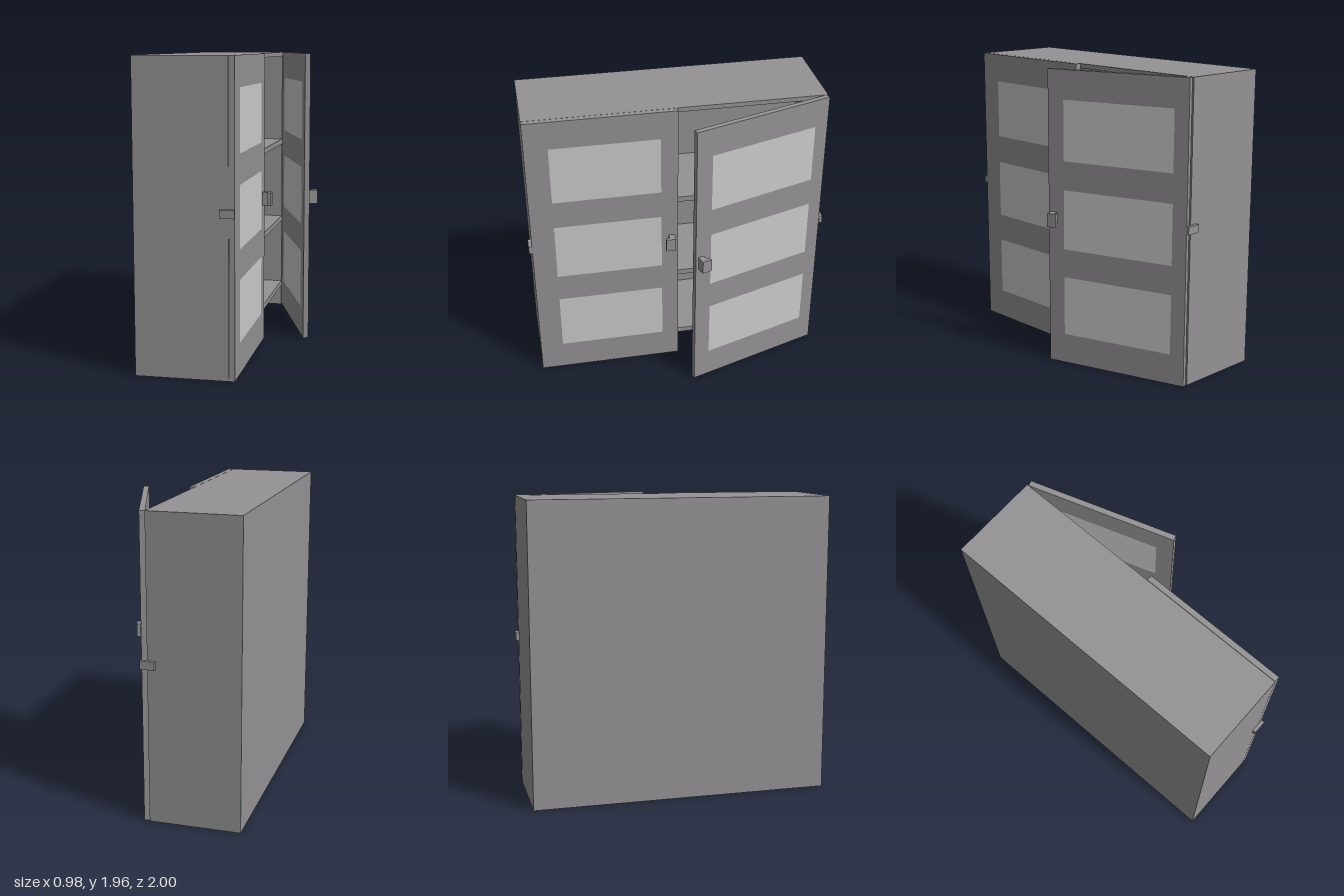
import * as THREE from 'three';

const H = 1.955, T = 0.036;
const body = new THREE.MeshStandardMaterial({ color: 0x949294 });
const pane = new THREE.MeshStandardMaterial({ color: 0xcccccc });

// Box given by its min and max corners
function box(parent, name, [x0, x1], [y0, y1], [z0, z1], material = body) {
  const mesh = new THREE.Mesh(new THREE.BoxGeometry(x1 - x0, y1 - y0, z1 - z0), material);
  mesh.position.set((x0 + x1) / 2, (y0 + y1) / 2, (z0 + z1) / 2);
  mesh.name = name;
  parent.add(mesh);
  return mesh;
}

function rectangle(target, x0, x1, y0, y1) {
  target.moveTo(x0, y0);
  target.lineTo(x1, y0);
  target.lineTo(x1, y1);
  target.lineTo(x0, y1);
  target.closePath();
  return target;
}

// Door with its hinge at local x = 0 and outer face at z = 0; side is the direction it extends
function makeDoor(name, side, width, paneStart, paneEnd) {
  const door = new THREE.Group();
  door.name = name;
  const span = (a, b) => (side > 0 ? [a, b] : [-b, -a]);
  const frame = rectangle(new THREE.Shape(), ...span(0, width), 0, H);
  const rows = [[0.2, 0.595], [0.785, 1.18], [1.37, 1.765]];
  for (const row of rows) {
    frame.holes.push(rectangle(new THREE.Path(), ...span(paneStart, paneEnd), ...row));
    box(door, 'doorPane', span(paneStart, paneEnd), row, [-T, 0], pane);
  }
  const geometry = new THREE.ExtrudeGeometry(frame, { depth: T, bevelEnabled: false });
  geometry.translate(0, 0, -T);
  const mesh = new THREE.Mesh(geometry, body);
  mesh.name = 'doorFrame';
  door.add(mesh);

  // L-shaped pull near the free edge
  box(door, 'handleStem', span(0.91, 0.95), [0.94, 1.03], [0, 0.035]);
  box(door, 'handleGrip', span(0.885, 0.95), [0.94, 1.03], [0.035, 0.06]);
  return door;
}

export function createModel() {
  const cabinet = new THREE.Group();
  cabinet.name = 'cabinet';
  const back = -0.485, front = 0.102, half = 0.978, wall = 0.03;

  // Carcass, open underneath the lowest shelf
  box(cabinet, 'backPanel', [back, back + wall], [0, H - wall], [-half, half]);
  box(cabinet, 'topPanel', [back, front], [H - wall, H], [-half, half]);
  for (const s of [-1, 1]) {
    const z = s > 0 ? [half - wall, half] : [-half, -half + wall];
    box(cabinet, 'sidePanel', [back + wall, front], [0, H - wall], z);
  }
  for (const y of [0.15, 0.665, 1.26]) {
    box(cabinet, 'shelf', [back + wall, front], [y, y + 0.037], [-half + wall, half - wall]);
  }

  // Catches on the outside of both side walls
  for (const s of [-1, 1]) {
    const z = s > 0 ? [half, 1] : [-1, -half];
    box(cabinet, 'sideCatch', [0.05, 0.143], [1.0, 1.052], z);
  }

  // Closed door
  const closed = makeDoor('closedDoor', 1, 0.975, 0.153, 0.863);
  closed.position.set(0.14, 0, half);
  closed.rotation.y = Math.PI / 2;
  cabinet.add(closed);

  // Door standing ajar
  const open = makeDoor('openDoor', -1, 0.97, 0.095, 0.858);
  open.position.set(0.137, 0, -half);
  open.rotation.y = Math.PI / 2 + 0.318;
  cabinet.add(open);

  return cabinet;
}
